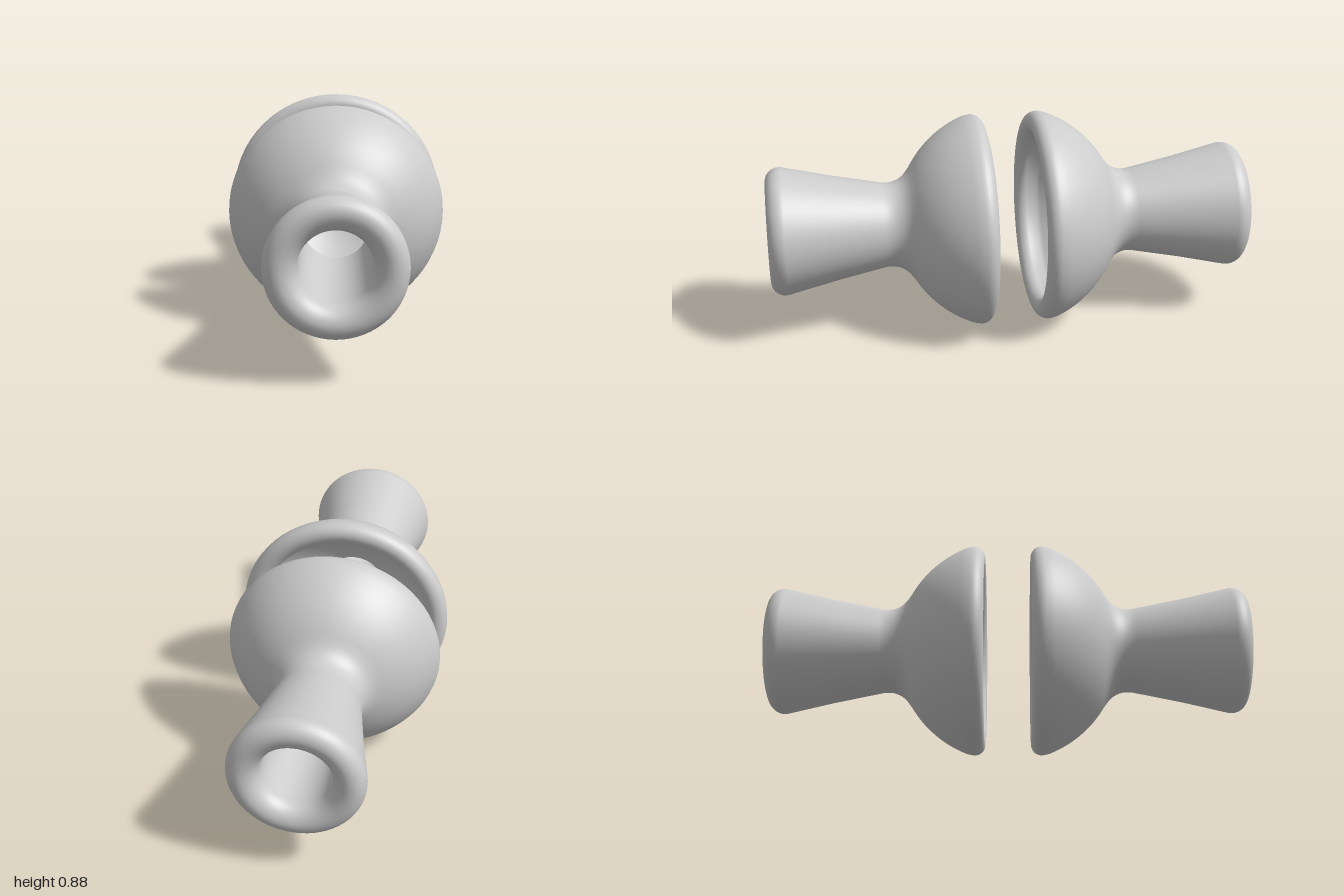
import * as THREE from 'three';

// Appends an arc to a profile; x is the radius, y the distance along the axis.
function arc(points, cx, cy, rx, ry, from, to, steps) {
  for (let i = 0; i <= steps; i++) {
    const a = from + (to - from) * i / steps;
    points.push(new THREE.Vector2(cx + rx * Math.cos(a), cy + ry * Math.sin(a)));
  }
}

// Closed cross-section of one hollow cup with its flared neck.
function cupProfile() {
  const p = [];
  const half = Math.PI / 2;
  // inside of the bowl, from the sharp throat edge to the rim
  arc(p, 0, 0, 0.4, 0.4, half - 0.331, half - 1.08, 16);
  // rounded rim bead
  arc(p, 0.396, 0.141, 0.045, 0.045, Math.PI - 0.3, 2 * Math.PI + 0.3, 16);
  // outside of the dome
  arc(p, 0, 0.003, 0.467, 0.467, 0.37, 1.03, 18);
  // concave fillet between dome and neck
  const fillet = new THREE.QuadraticBezierCurve(
    new THREE.Vector2(0.238, 0.406),
    new THREE.Vector2(0.163, 0.45),
    new THREE.Vector2(0.178, 0.53)
  );
  p.push(...fillet.getPoints(10).slice(1));
  // flared neck and rounded mouth
  p.push(new THREE.Vector2(0.218, 0.73));
  arc(p, 0.208, 0.942, 0.057, 0.058, -0.2, half, 8);
  arc(p, 0.208, 0.93, 0.07, 0.07, half + 0.15, Math.PI, 8);
  // bore back to the throat
  p.push(new THREE.Vector2(0.136, 0.75), new THREE.Vector2(0.133, 0.55), p[0].clone());
  return p;
}

export function createModel() {
  const model = new THREE.Group();
  model.name = 'facingCups';
  const grey = new THREE.MeshStandardMaterial({ color: 0xcccccc });
  grey.name = 'light grey';

  // two identical cups, bowls facing each other across a gap
  for (const [name, side] of [['frontCup', 1], ['backCup', -1]]) {
    const geometry = new THREE.LatheGeometry(cupProfile(), 64);
    geometry.rotateX(side * Math.PI / 2);
    const cup = new THREE.Mesh(geometry, grey);
    cup.name = name;
    cup.position.y = 0.442;
    model.add(cup);
  }
  return model;
}
